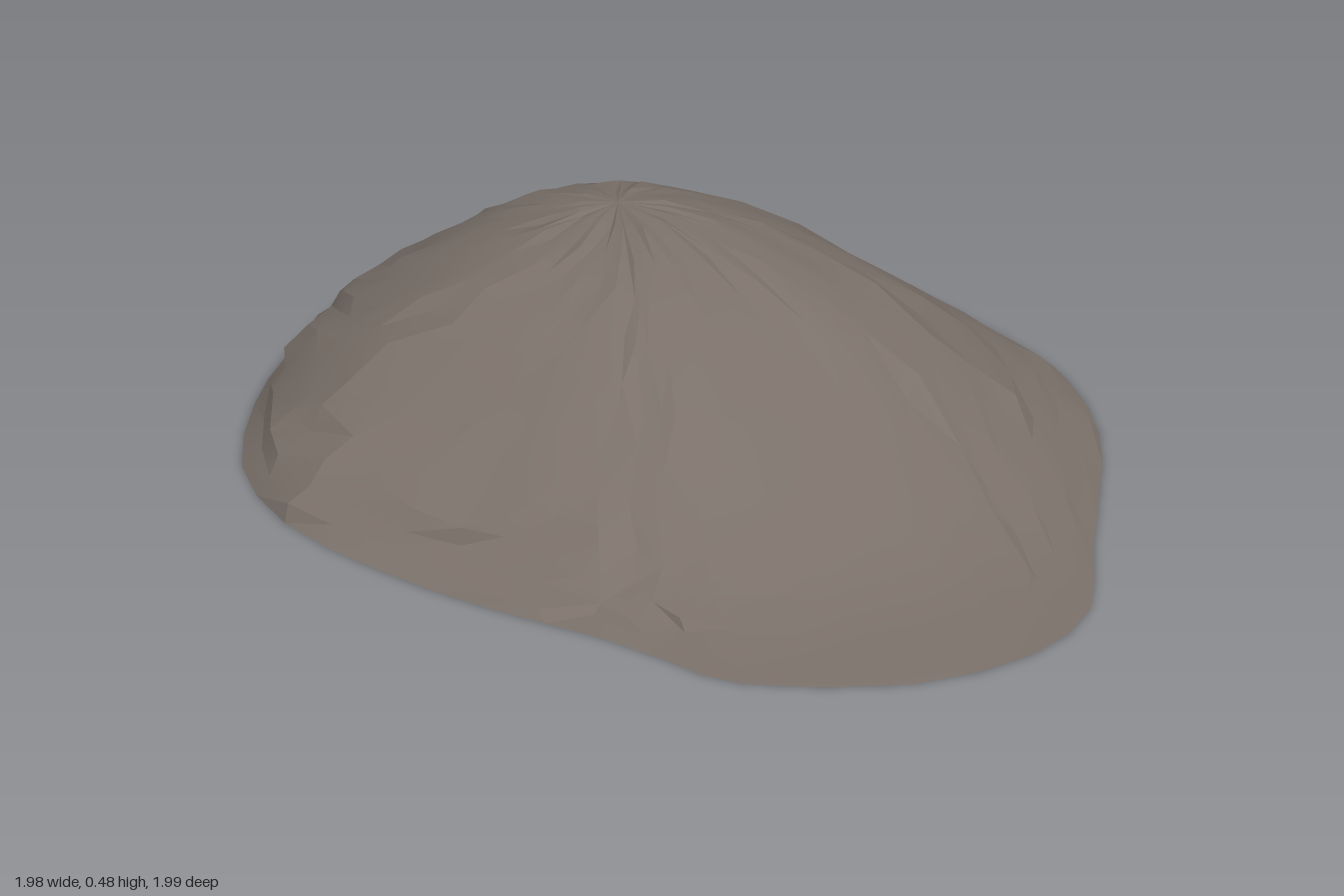
import * as THREE from 'three';
import { toCreasedNormals } from 'three/addons/utils/BufferGeometryUtils.js';

const APEX = { x: -0.15, y: 0.48, z: -0.17 };
// Fractions of the way from the peak to the rim where heights are given
const STEPS = [0, 0.25, 0.5, 0.75, 0.9, 1];
// Spokes around the hill: rim x, rim z, then heights at 0.25, 0.5, 0.75 and 0.9
const SPOKES = [
  [-0.15, -1.0, 0.445, 0.325, 0.16, 0.065],
  [0.15, -0.96, 0.445, 0.325, 0.16, 0.065],
  [0.45, -0.83, 0.44, 0.33, 0.165, 0.065],
  [0.72, -0.6, 0.44, 0.33, 0.17, 0.065],
  [0.9, -0.38, 0.44, 0.335, 0.175, 0.07],
  [0.98, -0.12, 0.44, 0.34, 0.175, 0.07],
  [0.98, 0.15, 0.44, 0.335, 0.165, 0.06],
  [0.965, 0.4, 0.435, 0.31, 0.125, 0.04],
  [0.96, 0.62, 0.425, 0.26, 0.08, 0.022],
  [0.85, 0.8, 0.42, 0.24, 0.065, 0.018],
  [0.62, 0.94, 0.425, 0.245, 0.06, 0.015],
  [0.3, 0.99, 0.43, 0.28, 0.085, 0.02],
  [0.15, 0.94, 0.435, 0.305, 0.115, 0.027],
  [0, 0.88, 0.437, 0.325, 0.15, 0.04],
  [-0.25, 0.81, 0.44, 0.33, 0.165, 0.055],
  [-0.5, 0.71, 0.44, 0.335, 0.18, 0.07],
  [-0.75, 0.56, 0.437, 0.345, 0.2, 0.09],
  [-0.92, 0.34, 0.437, 0.35, 0.21, 0.1],
  [-0.985, 0.05, 0.437, 0.35, 0.22, 0.11],
  [-0.985, -0.2, 0.437, 0.35, 0.22, 0.11],
  [-0.94, -0.48, 0.44, 0.345, 0.2, 0.095],
  [-0.86, -0.68, 0.44, 0.335, 0.185, 0.08],
  [-0.6, -0.85, 0.443, 0.33, 0.175, 0.07],
  [-0.35, -0.96, 0.445, 0.325, 0.165, 0.065],
];

function cubic(a, b, c, d, f) {
  return b + 0.5 * f * (c - a + f * (2 * a - 5 * b + 4 * c - d + f * (3 * (b - c) + d - a)));
}

// Smooth curve through a list; the start is mirrored so the peak is rounded
function along(list, u, mirror) {
  const last = list.length - 1;
  const i = Math.min(Math.floor(u), last - 1);
  const before = i > 0 ? list[i - 1] : mirror * list[1];
  const after = i + 2 <= last ? list[i + 2] : 2 * list[last] - list[last - 1];
  return cubic(before, list[i], list[i + 1], after, u - i);
}

// Spoke values blended around the closed rim
function spokeAt(s) {
  const n = SPOKES.length;
  const i = Math.floor(s);
  const at = (k) => SPOKES[(i + k + n) % n];
  return at(0).map((_, k) => cubic(at(-1)[k], at(0)[k], at(1)[k], at(2)[k], s - i));
}

function seeded(seed) {
  return () => {
    seed = (seed * 16807) % 2147483647;
    return seed / 2147483647 - 0.5;
  };
}

function hillGeometry(sides, rings) {
  const rand = seeded(71);
  const positions = [APEX.x, APEX.y, APEX.z];
  const index = [];
  const spokes = Array.from({ length: sides }, (_, j) => spokeAt((j / sides) * SPOKES.length));

  for (let r = 1; r <= rings; r++) {
    const u = (r / rings) * (STEPS.length - 1);
    spokes.forEach((spoke, j) => {
      const heights = [APEX.y, ...spoke.slice(2), 0];
      const t = along(STEPS, u, -1);
      const rim = r === rings;
      // Slight unevenness gives the surface its irregular facets
      const slide = rim ? 0 : 0.05 * t;
      const bump = rim ? 0 : 0.012 * Math.min(1, 3 * (1 - t));
      positions.push(
        APEX.x + t * (spoke[0] - APEX.x) + slide * rand(),
        Math.max(0, along(heights, u, 1) + bump * rand()),
        APEX.z + t * (spoke[1] - APEX.z) + slide * rand()
      );
      const k = (j + 1) % sides;
      const outer = 1 + (r - 1) * sides;
      if (r === 1) {
        index.push(0, outer + k, outer + j);
      } else {
        const inner = outer - sides;
        index.push(inner + j, inner + k, outer + k, inner + j, outer + k, outer + j);
      }
    });
  }

  const geometry = new THREE.BufferGeometry();
  geometry.setAttribute('position', new THREE.Float32BufferAttribute(positions, 3));
  geometry.setIndex(index);
  return toCreasedNormals(geometry, 0.25);
}

export function createModel() {
  const group = new THREE.Group();
  group.name = 'rockMound';

  // Open shell, hollow underneath
  const material = new THREE.MeshStandardMaterial({ color: 0x7a7069, side: THREE.DoubleSide });
  const hill = new THREE.Mesh(hillGeometry(48, 12), material);
  hill.name = 'moundSurface';
  group.add(hill);
  return group;
}
